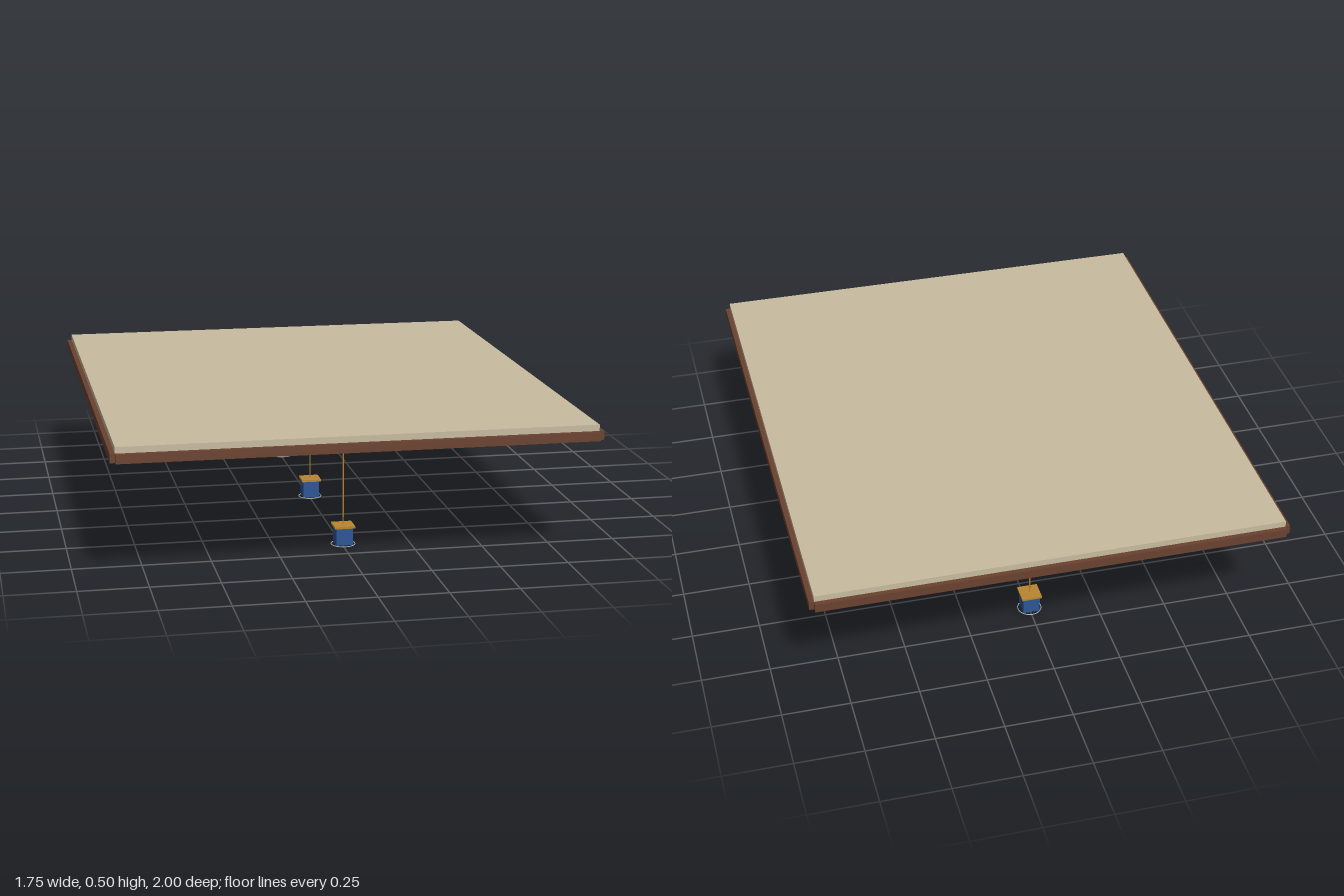
import * as THREE from 'three';

const mat = (name, color) => Object.assign(new THREE.MeshStandardMaterial({ color }), { name });

export function createModel() {
  const plaster = mat('plaster', 0xc8bb9f);
  const wood = mat('wood', 0x6b4230);
  const darkWood = mat('darkWood', 0x4a2c1a);
  const brass = mat('brass', 0xb8862e);
  const blue = mat('blueGlass', 0x2c5594);
  const pale = mat('paleRing', 0xa9b6c4);

  const root = new THREE.Group();
  root.name = 'cofferedCeiling';

  const add = (parent, name, geo, material, x, y, z) => {
    const m = new THREE.Mesh(geo, material);
    m.name = name;
    m.position.set(x, y, z);
    parent.add(m);
    return m;
  };
  const box = (parent, name, material, w, h, d, x, y, z) =>
    add(parent, name, new THREE.BoxGeometry(w, h, d), material, x, y, z);

  const W = 1.714, D = 1.962;          // slab size
  const beamW = 0.036, beamH = 0.033, beamY = 0.4585;

  // Ceiling slab
  box(root, 'ceilingSlab', plaster, W, 0.03, D, 0, 0.483, 0);

  // Beams on the edges and thirds, three cells each way
  for (let i = 0; i < 4; i++) {
    const t = i / 3 - 0.5;
    box(root, 'lengthBeam', wood, beamW, beamH, D, t * W, beamY, 0);
    box(root, 'crossBeam', wood, W, beamH, beamW, 0, beamY, t * D);
  }

  // Lattice panels in the middle cells of both sides
  for (const side of [-1, 1]) {
    const lattice = new THREE.Group();
    lattice.name = 'latticePanel';
    lattice.position.set(side * W / 3, 0.459, 0);
    root.add(lattice);
    const n = 8, cw = W / 3 - beamW, cd = D / 3 - beamW;
    for (let i = 1; i <= n; i++) {
      const t = i / (n + 1) - 0.5;
      box(lattice, 'lengthBar', darkWood, 0.008, 0.008, cd * 0.94, t * cw, 0, 0);
      box(lattice, 'crossBar', darkWood, cw * 0.94, 0.008, 0.008, 0, 0, t * cd);
    }
  }

  // Hanging lanterns, one under each middle cell
  for (const t of [-1, 0, 1]) {
    const lamp = new THREE.Group();
    lamp.name = 'lantern';
    lamp.position.z = t * D / 3;
    root.add(lamp);
    add(lamp, 'ceilingRose', new THREE.CylinderGeometry(0.022, 0.022, 0.01, 16), brass, 0, 0.463, 0);
    add(lamp, 'cord', new THREE.CylinderGeometry(0.0025, 0.0025, 0.385, 8), brass, 0, 0.2725, 0);
    box(lamp, 'cap', brass, 0.076, 0.008, 0.076, 0, 0.079, 0);
    box(lamp, 'body', blue, 0.063, 0.064, 0.063, 0, 0.043, 0);
    const ring = add(lamp, 'bottomRing', new THREE.TorusGeometry(0.044, 0.0018, 6, 28), pale, 0, 0.009, 0);
    ring.rotation.x = Math.PI / 2;
    add(lamp, 'bottomKnob', new THREE.SphereGeometry(0.007, 10, 8), darkWood, 0, 0.007, 0);
  }

  return root;
}
